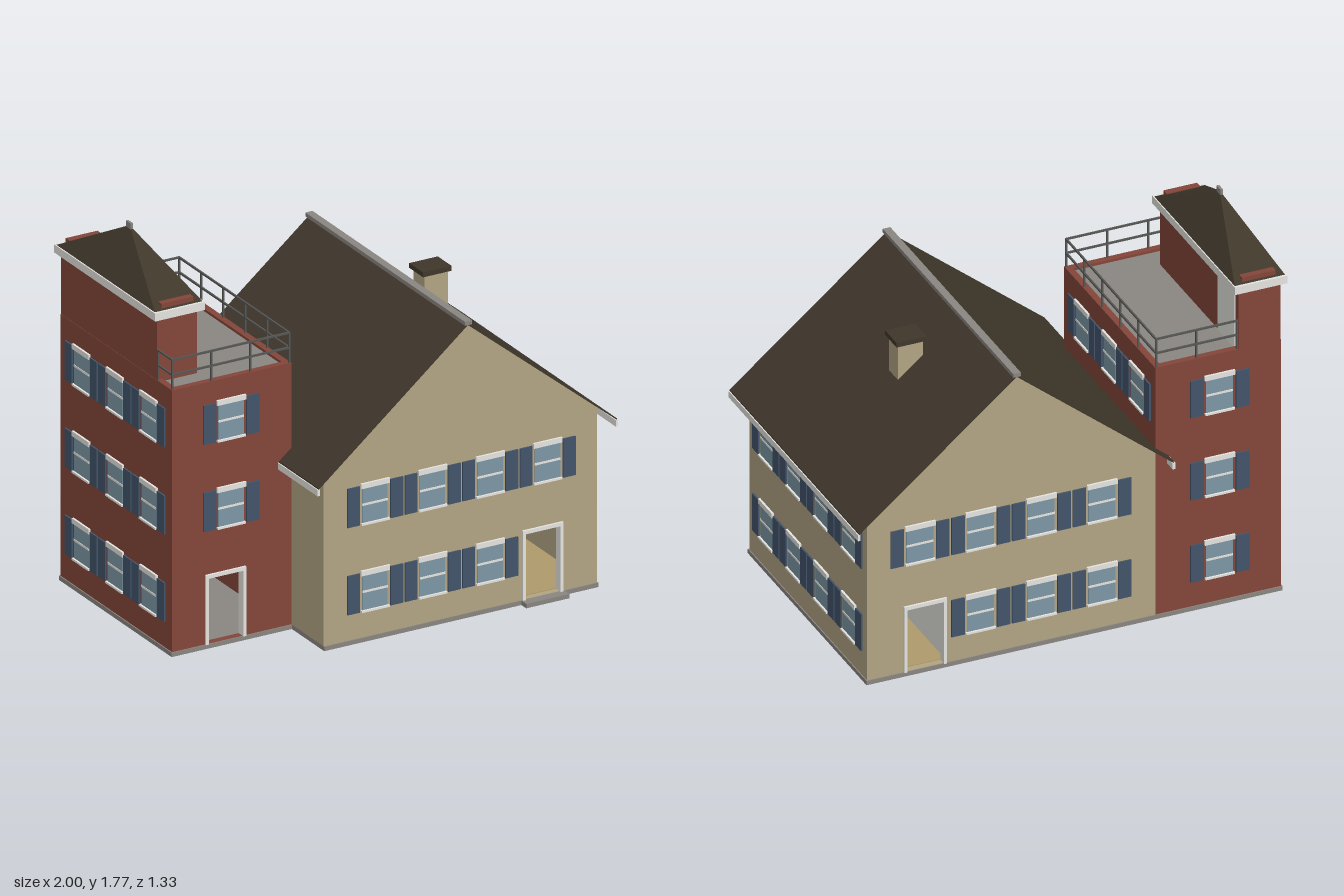
import * as THREE from 'three';

const mat = (name, color) => {
  const m = new THREE.MeshStandardMaterial({ color });
  m.name = name;
  return m;
};

export function createModel() {
  const model = new THREE.Group();
  model.name = 'houseWithTower';
  const M = {
    plaster: mat('plaster', 0xb3a584),
    brick: mat('brick', 0x84463a),
    roof: mat('roofShingle', 0x40372b),
    white: mat('whiteTrim', 0xe6e5e0),
    glass: mat('glass', 0x7d98a6),
    shutter: mat('shutterBlue', 0x42546a),
    stone: mat('stoneGrey', 0x8a8681),
    rail: mat('railGrey', 0x565654),
    wood: mat('stairWood', 0xb09a6c),
  };

  const add = (name, geo, material, parent = model) => {
    const mesh = new THREE.Mesh(geo, material);
    mesh.name = name;
    parent.add(mesh);
    return mesh;
  };
  // Box given by its minimum and maximum on each axis
  const box = (name, material, x0, x1, y0, y1, z0, z1, parent = model) => {
    const geo = new THREE.BoxGeometry(x1 - x0, y1 - y0, z1 - z0);
    geo.translate((x0 + x1) / 2, (y0 + y1) / 2, (z0 + z1) / 2);
    return add(name, geo, material, parent);
  };
  // Wall outline in x and y, with an optional doorway, extruded along z
  const wall = (name, material, pts, z0, z1, door) => {
    const shape = new THREE.Shape(pts.map(([x, y]) => new THREE.Vector2(x, y)));
    if (door) {
      const [a, b, c, d] = door;
      shape.holes.push(new THREE.Path([[a, c], [a, d], [b, d], [b, c]].map(p => new THREE.Vector2(...p))));
    }
    const geo = new THREE.ExtrudeGeometry(shape, { depth: z1 - z0, bevelEnabled: false });
    geo.translate(0, 0, z0);
    return add(name, geo, material);
  };

  // Shuttered sash window; local z = 0 is the wall surface, local y = 0 the sill
  const windowAt = (x, y, z, turn) => {
    const g = new THREE.Group();
    g.name = 'window';
    box('pane', M.glass, -0.062, 0.062, 0.005, 0.165, -0.034, 0.003, g);
    box('lintel', M.white, -0.07, 0.07, 0.165, 0.188, -0.01, 0.01, g);
    box('sill', M.white, -0.068, 0.068, -0.003, 0.006, -0.01, 0.012, g);
    box('meetingRail', M.white, -0.062, 0.062, 0.085, 0.095, -0.036, 0.005, g);
    for (const s of [-1, 1]) {
      const sh = box('shutter', M.shutter, -0.03, 0.03, 0, 0.178, 0, 0.008, g);
      sh.position.x = s * 0.105;
    }
    g.position.set(x, y, z);
    g.rotation.y = turn;
    model.add(g);
  };
  const doorFrame = (a, b, top, z) => {
    const g = new THREE.Group();
    g.name = 'doorFrame';
    model.add(g);
    box('jamb', M.white, a - 0.012, a + 0.002, 0.02, top, z - 0.02, z + 0.02, g);
    box('jamb', M.white, b - 0.002, b + 0.012, 0.02, top, z - 0.02, z + 0.02, g);
    box('head', M.white, a - 0.012, b + 0.012, top - 0.003, top + 0.014, z - 0.02, z + 0.02, g);
  };

  // Foundations and doorstep
  box('houseFoundation', M.stone, -0.4, 0.935, 0, 0.02, -0.605, 0.605);
  box('towerFoundation', M.stone, -0.985, -0.4, 0, 0.02, -0.605, 0.335);
  box('doorstep', M.stone, 0.56, 0.77, 0, 0.02, 0.605, 0.645);

  // House shell
  const ridgeX = 0.267, ridgeY = 1.37, slope = 0.82;
  const roofY = x => ridgeY - Math.abs(x - ridgeX) * slope;
  const gable = [[-0.4, 0.02], [0.93, 0.02], [0.93, roofY(0.93)], [ridgeX, ridgeY], [-0.4, roofY(-0.4)]];
  const houseDoor = [0.577, 0.75, 0.021, 0.325];
  wall('frontGableWall', M.plaster, gable, 0.57, 0.6, houseDoor);
  wall('backGableWall', M.plaster, gable, -0.6, -0.57, houseDoor);
  box('houseRightWall', M.plaster, -0.4, -0.37, 0.02, roofY(-0.4), -0.57, 0.57);
  box('houseLeftWall', M.plaster, 0.9, 0.93, 0.02, roofY(0.93), -0.57, 0.57);
  box('hallPartition', M.white, 0.54, 0.56, 0.02, 0.42, -0.57, 0.57);
  box('hallCeiling', M.white, 0.56, 0.9, 0.4, 0.42, -0.57, 0.57);
  box('hallFloor', M.wood, 0.56, 0.9, 0.02, 0.024, -0.57, 0.57);
  doorFrame(0.577, 0.75, 0.325, 0.59);
  doorFrame(0.577, 0.75, 0.325, -0.59);

  // House roof, ridge cap and gutters
  const t = 0.007;
  wall('houseRoof', M.roof, [
    [-0.46, roofY(-0.46)], [ridgeX, ridgeY], [0.994, roofY(0.994)],
    [0.994, roofY(0.994) + t], [ridgeX, ridgeY + t], [-0.46, roofY(-0.46) + t],
  ], -0.66, 0.66);
  box('ridgeCap', M.stone, 0.25, 0.285, 1.372, 1.39, -0.665, 0.665);
  for (const x of [-0.459, 0.993]) box('gutter', M.white, x - 0.006, x + 0.006, 0.745, 0.775, -0.66, 0.66);

  // Chimney
  box('chimney', M.plaster, 0.45, 0.565, 1.05, 1.3, -0.108, -0.015);
  box('chimneyCap', M.roof, 0.438, 0.577, 1.3, 1.322, -0.121, -0.005);

  // House windows
  const floors = [0.14, 0.54, 0.94];
  for (const [z, turn] of [[0.6, 0], [-0.6, Math.PI]])
    for (let i = 0; i < 4; i++)
      for (let f = 0; f < 2; f++)
        if (f === 1 || i < 3) windowAt(-0.152 + i * 0.28, floors[f], z, turn);
  for (const z of [-0.42, -0.14, 0.14, 0.42])
    for (let f = 0; f < 2; f++) windowAt(0.93, floors[f], z, Math.PI / 2);

  // Tower shell
  const rect = (x0, x1, y0, y1) => [[x0, y0], [x1, y0], [x1, y1], [x0, y1]];
  wall('towerFrontWall', M.brick, rect(-0.98, -0.4, 0.02, 1.22), 0.3, 0.33, [-0.808, -0.637, 0.021, 0.325]);
  box('towerBackWall', M.brick, -0.98, -0.4, 0.02, 1.22, -0.6, -0.57);
  box('towerOuterWall', M.brick, -0.98, -0.95, 0.02, 1.22, -0.57, 0.3);
  box('towerInnerWall', M.brick, -0.43, -0.4, 0.02, 1.22, -0.57, 0.3);
  box('towerDeck', M.stone, -0.95, -0.43, 1.19, 1.208, -0.57, 0.3);
  box('towerCeiling', M.white, -0.95, -0.43, 0.4, 0.42, -0.57, 0.3);
  doorFrame(-0.808, -0.637, 0.325, 0.32);

  // Stairs along the tower's outer wall
  for (let i = 0; i < 14; i++) {
    const z = 0.2 - i * 0.05;
    box('stair', M.wood, -0.95, -0.83, 0.02, 0.046 + i * 0.026, z - 0.05, z);
  }

  // Tower windows
  floors.forEach((y, f) => {
    if (f > 0) windowAt(-0.695, y, 0.33, 0);
    windowAt(-0.695, y, -0.6, Math.PI);
    for (const z of [-0.42, -0.14, 0.14]) {
      windowAt(-0.98, y, z, -Math.PI / 2);
      if (f === 2) windowAt(-0.4, y, z, Math.PI / 2);
    }
  });

  // Stair house on the deck
  box('stairHouse', M.brick, -0.978, -0.783, 1.2, 1.5, -0.6, 0.2);
  box('stairHouseDoor', M.white, -0.784, -0.778, 1.208, 1.5, -0.57, -0.4);
  box('cornice', M.white, -1, -0.757, 1.5, 1.537, -0.622, 0.222);
  for (const z of [-0.6, 0.17]) box('endParapet', M.brick, -0.955, -0.8, 1.53, 1.563, z, z + 0.03);
  let hip = new THREE.ConeGeometry(Math.SQRT1_2, 1, 4);
  hip.rotateY(Math.PI / 4);
  hip.scale(0.232, 0.22, 0.82);
  hip = hip.toNonIndexed();
  hip.computeVertexNormals();
  add('hipRoof', hip, M.roof).position.set(-0.878, 1.647, -0.2);
  box('finial', M.stone, -0.884, -0.872, 1.745, 1.772, -0.22, -0.18);

  // Deck railing
  const railing = (x0, z0, x1, z1, bays) => {
    const g = new THREE.Group();
    g.name = 'railing';
    model.add(g);
    const r = 0.004;
    for (let i = 0; i <= bays; i++) {
      const x = x0 + (x1 - x0) * i / bays, z = z0 + (z1 - z0) * i / bays;
      box('post', M.rail, x - r, x + r, 1.21, 1.36, z - r, z + r, g);
    }
    for (const y of [1.288, 1.356])
      box('handrail', M.rail, Math.min(x0, x1) - r, Math.max(x0, x1) + r, y - r, y + r,
        Math.min(z0, z1) - r, Math.max(z0, z1) + r, g);
  };
  railing(-0.974, 0.322, -0.406, 0.322, 3);
  railing(-0.406, 0.322, -0.406, -0.594, 5);
  railing(-0.406, -0.594, -0.779, -0.594, 2);
  railing(-0.974, 0.322, -0.974, 0.204, 1);

  return model;
}
